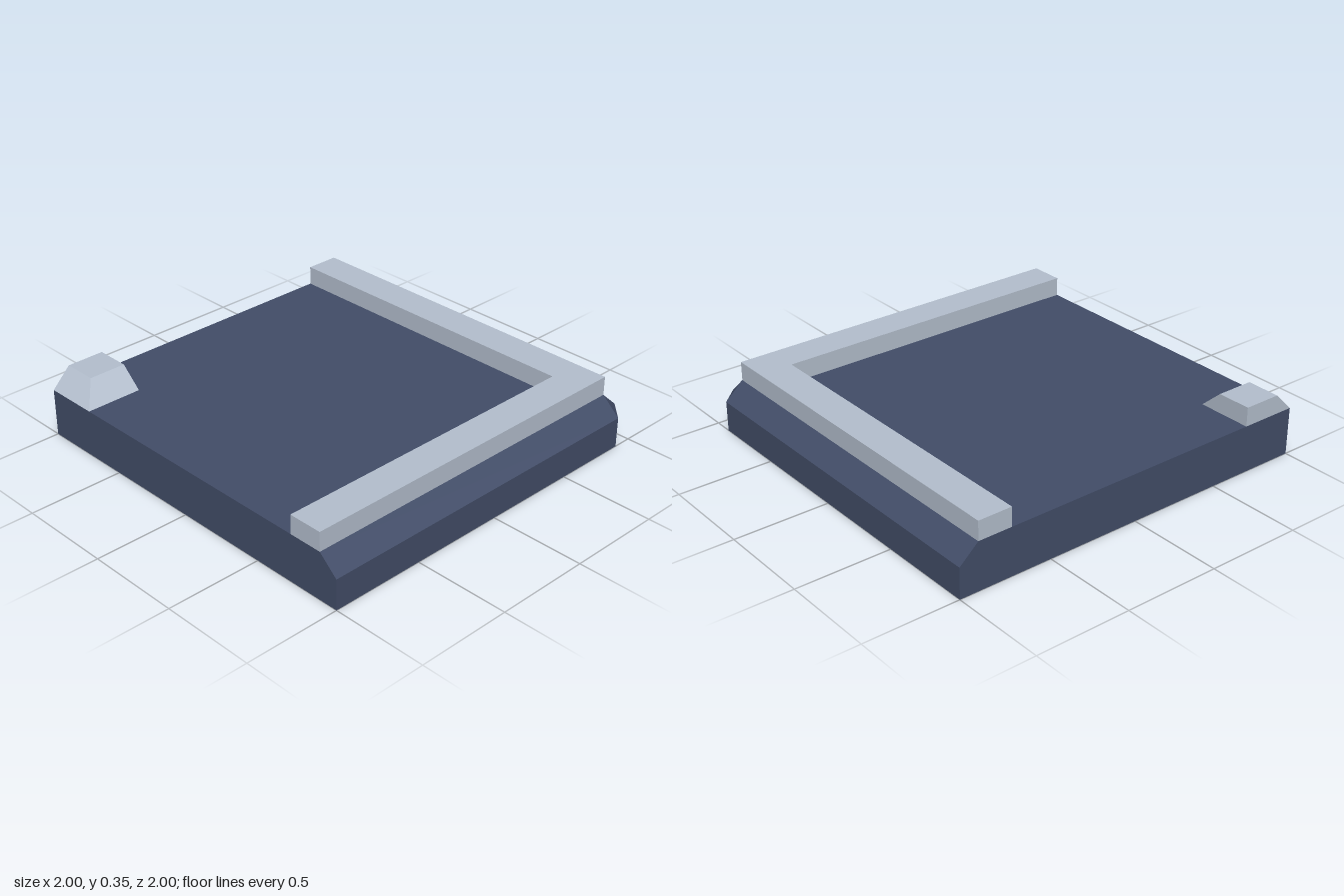
import * as THREE from 'three';
import { ConvexGeometry } from 'three/addons/geometries/ConvexGeometry.js';

const material = (name, color) => {
  const m = new THREE.MeshStandardMaterial({ color });
  m.name = name;
  return m;
};

// Faceted solid from level outlines: each level is [y, [[x, z], ...]]
const solid = (levels) => new ConvexGeometry(
  levels.flatMap(([y, outline]) => outline.map(([x, z]) => new THREE.Vector3(x, y, z)))
);

export function createModel() {
  const model = new THREE.Group();
  model.name = 'roofCornerTile';
  const navy = material('navy', 0x424d68);
  const paleGrey = material('paleGrey', 0xb4bfce);

  const add = (name, geometry, mat) => {
    const mesh = new THREE.Mesh(geometry, mat);
    mesh.name = name;
    model.add(mesh);
  };

  // Slab with a clipped back corner and bevelled back and +x edges
  const footprint = [[-1, 1], [1, 1], [1, -0.9], [0.9, -1], [-1, -1]];
  const topFace = [[-1, 1], [0.9, 1], [0.9, -0.9], [-1, -0.9]];
  add('slab', solid([[0, footprint], [0.16, footprint], [0.25, topFace]]), navy);

  // L-shaped kerb along the bevelled edges
  const outline = [[-1, 0.9], [-1, 0.72], [0.72, 0.72], [0.72, -1], [0.9, -1], [0.9, 0.9]];
  const kerbShape = new THREE.Shape(outline.map(([x, y]) => new THREE.Vector2(x, y)));
  const kerb = new THREE.ExtrudeGeometry(kerbShape, { depth: 0.1, bevelEnabled: false });
  kerb.rotateX(-Math.PI / 2).translate(0, 0.25, 0);
  add('kerb', kerb, paleGrey);

  // Corner block sloping on its front and inner sides
  add('cornerBlock', solid([
    [0.25, [[-1, 0.7], [-0.71, 0.7], [-0.71, 1], [-1, 1]]],
    [0.35, [[-1, 0.7], [-0.82, 0.7], [-0.82, 0.9], [-1, 0.9]]],
  ]), paleGrey);

  return model;
}
